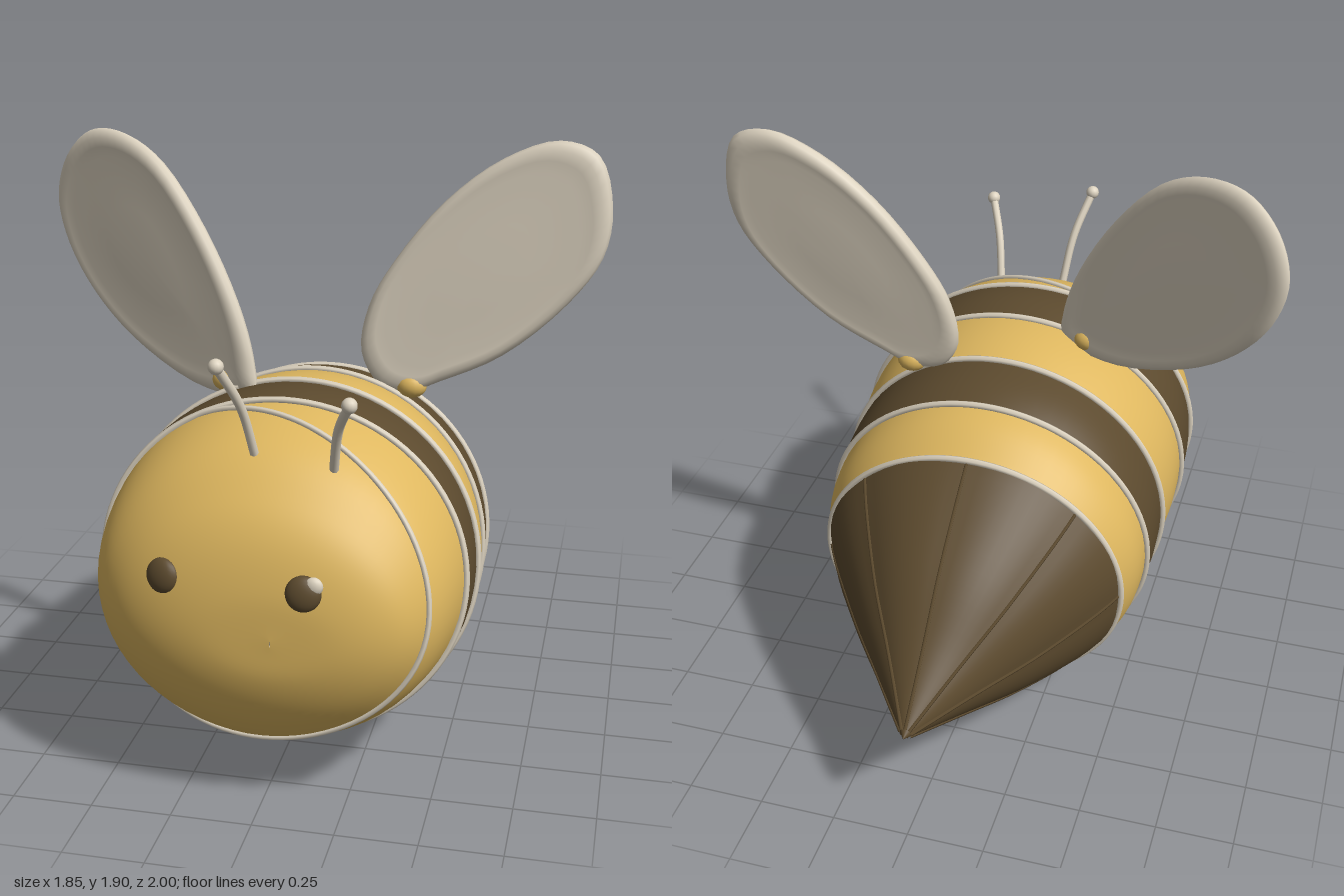
import * as THREE from 'three';

const mat = (name, color, side = THREE.FrontSide) => {
  const m = new THREE.MeshStandardMaterial({ color, side });
  m.name = name;
  return m;
};

// Body sections, nose to tail: top z, top y, bottom z, bottom y, half width, centre x
const SECTIONS = [
  [0.99, 0.61, 0.99, 0.59, 0.001, 0.06],
  [0.978, 0.75, 0.985, 0.48, 0.21, 0.05],
  [0.935, 0.89, 0.95, 0.37, 0.36, 0.03],
  [0.86, 1.0, 0.89, 0.27, 0.46, 0.01],
  [0.73, 1.11, 0.81, 0.195, 0.53, 0],
  [0.53, 1.175, 0.66, 0.14, 0.565, 0],
  [0.31, 1.17, 0.45, 0.075, 0.575, 0],
  [0.07, 1.135, 0.18, 0.02, 0.56, 0],
  [-0.14, 1.085, -0.02, 0.02, 0.55, 0],
  [-0.32, 0.99, -0.23, 0.06, 0.505, 0],
  [-0.6, 0.79, -0.5, 0.16, 0.33, 0],
  [-0.8, 0.6, -0.77, 0.3, 0.16, 0],
  [-1, 0.422, -1, 0.418, 0.001, 0],
];
const LAST = SECTIONS.length - 1;
const spline = pts => new THREE.CatmullRomCurve3(pts, false, 'catmullrom', 0.5);
const topCurve = spline(SECTIONS.map(r => new THREE.Vector3(r[0], r[1], r[4])));
const bottomCurve = spline(SECTIONS.map(r => new THREE.Vector3(r[2], r[3], r[5])));

// Point on the body at section s and angle a (0 is +x, up is PI / 2)
function bodyPoint(s, a, scale = 1) {
  const t = topCurve.getPoint(s / LAST), b = bottomCurve.getPoint(s / LAST);
  const v = Math.sin(a) * scale;
  return new THREE.Vector3(
    b.z + Math.cos(a) * t.z * scale,
    (t.y + b.y) / 2 + v * (t.y - b.y) / 2,
    (t.x + b.x) / 2 + v * (t.x - b.x) / 2);
}

function gridGeometry(rows) {
  const n = rows[0].length, pos = [], index = [];
  rows.forEach(row => row.forEach(p => pos.push(p.x, p.y, p.z)));
  for (let i = 0; i < rows.length - 1; i++) {
    for (let j = 0; j < n; j++) {
      const k = (j + 1) % n, a = i * n + j, b = a + n, c = i * n + k, d = c + n;
      index.push(a, b, c, c, b, d);
    }
  }
  const g = new THREE.BufferGeometry();
  g.setAttribute('position', new THREE.Float32BufferAttribute(pos, 3));
  g.setIndex(index);
  g.computeVertexNormals();
  return g;
}

// Stuffed fabric panel between two sections
function panel(s0, s1, steps, scaleAt) {
  const rows = [];
  for (let i = 0; i <= steps; i++) {
    const t = i / steps, row = [];
    for (let j = 0; j < 64; j++) {
      const a = j / 64 * Math.PI * 2;
      row.push(bodyPoint(s0 + (s1 - s0) * t, a, scaleAt(t, a)));
    }
    rows.push(row);
  }
  return gridGeometry(rows);
}

// Closed seam following the body; sAt gives the section for each angle
function seamGeometry(sAt, radius) {
  const pts = [];
  for (let j = 0; j < 48; j++) {
    const a = j / 48 * Math.PI * 2;
    pts.push(bodyPoint(sAt(a), a, 1.008));
  }
  return new THREE.TubeGeometry(new THREE.CatmullRomCurve3(pts, true), 96, radius, 6, true);
}

// Padded wing: outline in x, y; depth gives z on its mid plane
function wingGeometry(outline, depth) {
  const curve = new THREE.CatmullRomCurve3(outline.map(([x, y]) => new THREE.Vector3(x, y, depth(x, y))), true);
  const rim = curve.getPoints(56).slice(0, -1);
  const mid = rim.reduce((s, p) => s.add(p), new THREE.Vector3()).divideScalar(rim.length);
  const o = depth(0, 0);
  const normal = new THREE.Vector3(o - depth(1, 0), o - depth(0, 1), 1).normalize();
  const profile = [[0.001, 0.026], [0.4, 0.026], [0.78, 0.022], [0.86, 0.027], [0.93, 0.026], [0.98, 0.015], [1, 0]];
  const loops = [...profile, ...profile.slice(0, -1).reverse().map(([r, h]) => [r, -h])];
  return gridGeometry(loops.map(([r, h]) =>
    rim.map(p => mid.clone().lerp(p, r).addScaledVector(normal, h))));
}

export function createModel() {
  const yellow = mat('honey yellow', 0xdeb75f);
  const brown = mat('dark brown', 0x5c4a2e);
  const cream = mat('cream', 0xddd3c0, THREE.DoubleSide);
  const model = new THREE.Group();
  model.name = 'plushBee';
  const add = (name, geometry, material, parent = model) => {
    const m = new THREE.Mesh(geometry, material);
    m.name = name;
    parent.add(m);
    return m;
  };

  // Head and body stripes
  const puff = t => 1 + 0.012 * Math.sin(Math.PI * t);
  add('head', panel(0, 5, 30, () => 1), yellow);
  add('frontDarkStripe', panel(5, 6, 8, puff), brown);
  add('middleYellowStripe', panel(6, 7, 8, puff), yellow);
  add('rearDarkStripe', panel(7, 8, 8, puff), brown);
  add('rearYellowStripe', panel(8, 9, 8, puff), yellow);

  // Pointed tail with eight gores and their seams
  add('tailCone', panel(9, 12, 18, (t, a) => 1 + 0.025 * Math.abs(Math.sin(4 * a)) * Math.sin(Math.PI * Math.min(1, t + 0.2))), brown);
  for (let k = 0; k < 8; k++) {
    const pts = [];
    for (let i = 0; i <= 10; i++) pts.push(bodyPoint(9 + i * 0.29, k * Math.PI / 4));
    add('tailSeam', new THREE.TubeGeometry(new THREE.CatmullRomCurve3(pts), 20, 0.006, 5), brown);
  }

  // Raised seams around the stripes and across the turned head
  for (let s = 5; s <= 9; s++) add('stripeSeam', seamGeometry(() => s, 0.011), cream);
  add('headSeam', seamGeometry(a => 5 - Math.max(0, 0.8 + Math.cos(a + 0.44)), 0.009), cream);

  // Wings, each at its own angle
  const rightWing = [[-0.15, 1.12], [-0.15, 1.21], [-0.2, 1.38], [-0.33, 1.62], [-0.5, 1.82], [-0.65, 1.89], [-0.78, 1.88],
    [-0.88, 1.79], [-0.925, 1.65], [-0.89, 1.5], [-0.78, 1.34], [-0.6, 1.2], [-0.33, 1.1]];
  const leftWing = [[0.2, 1.1], [0.14, 1.2], [0.16, 1.35], [0.24, 1.5], [0.4, 1.7], [0.58, 1.84], [0.75, 1.9],
    [0.87, 1.86], [0.92, 1.7], [0.9, 1.55], [0.8, 1.4], [0.6, 1.22], [0.4, 1.12], [0.3, 1.08]];
  add('rightWing', wingGeometry(rightWing, x => 0.31 + (x + 0.17) * 0.53), cream);
  add('leftWing', wingGeometry(leftWing, (x, y) => 0.05 + 0.05 * (x - 0.2) - 0.1 * (y - 1.15)), cream);
  for (const [x, y, z] of [[-0.25, 1.15, 0.27], [0.31, 1.1, 0.06]]) {
    const patch = add('wingRootPatch', new THREE.SphereGeometry(0.05, 16, 10), yellow);
    patch.position.set(x, y, z);
    patch.scale.set(1, 0.8, 0.8);
  }

  // Antennae with rounded ends
  const antennae = [
    ['rightAntenna', [-0.035, 1.07, 0.75], [-0.06, 1.25, 0.82], [-0.105, 1.39, 0.905]],
    ['leftAntenna', [0.195, 1.04, 0.75], [0.225, 1.2, 0.83], [0.275, 1.31, 0.925]],
  ];
  for (const [name, ...pts] of antennae) {
    const g = new THREE.Group();
    g.name = name;
    model.add(g);
    const path = new THREE.CatmullRomCurve3(pts.map(p => new THREE.Vector3(...p)));
    add('stalk', new THREE.TubeGeometry(path, 16, 0.014, 8), cream, g);
    add('knob', new THREE.SphereGeometry(0.023, 14, 10), cream, g).position.set(...pts[2]);
  }

  // Eyes, the left one with a small glint
  const eye = new THREE.SphereGeometry(0.053, 20, 14);
  for (const [name, x, z, turn] of [['rightEye', -0.27, 0.935, -0.3], ['leftEye', 0.155, 0.973, 0.05]]) {
    const e = add(name, eye, brown);
    e.position.set(x, 0.76, z);
    e.rotation.set(-0.2, turn, 0);
    e.scale.z = 0.5;
  }
  const glint = add('eyeGlint', new THREE.SphereGeometry(0.028, 12, 8), cream);
  glint.position.set(0.185, 0.785, 0.972);
  glint.scale.z = 0.6;

  return model;
}
